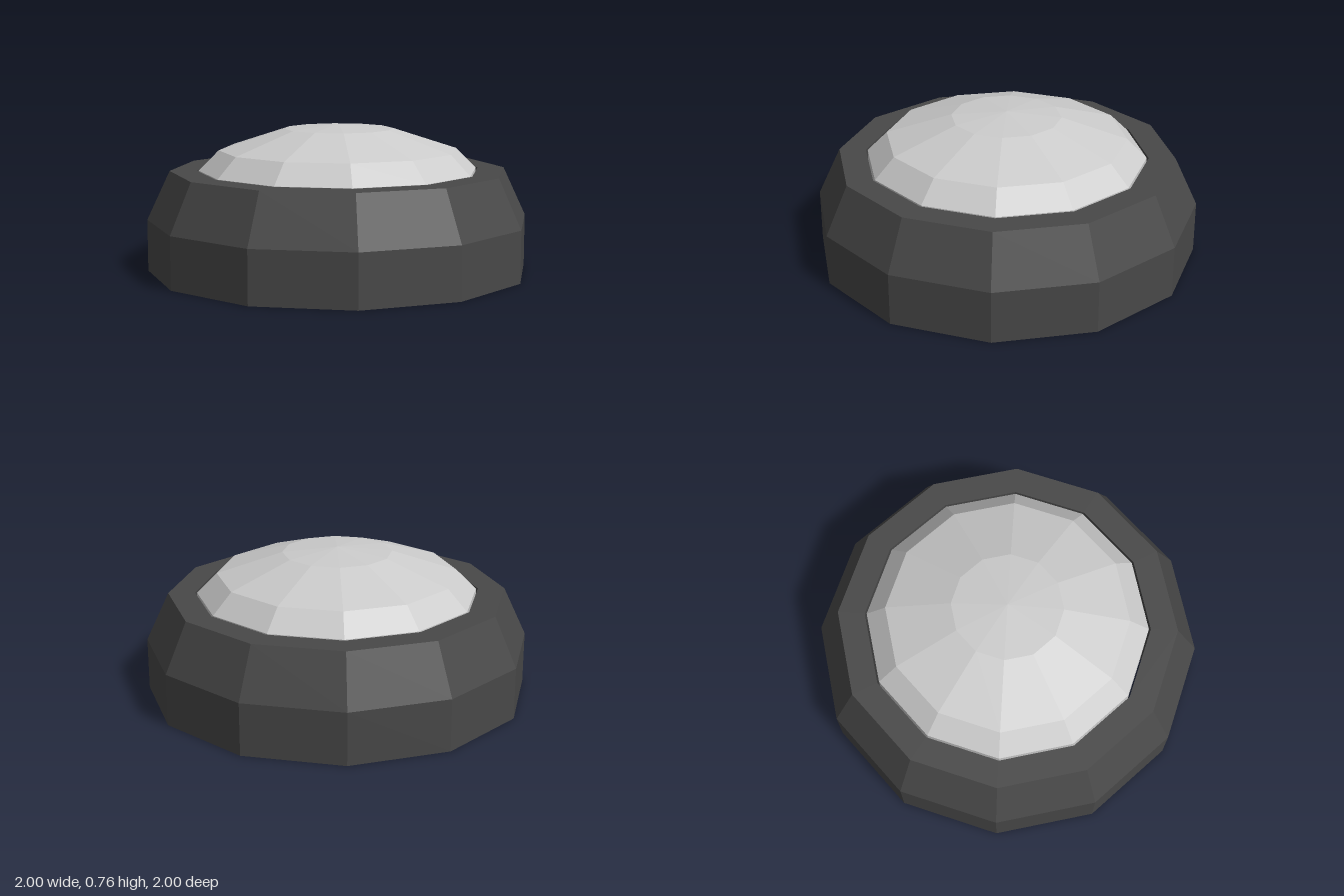
import * as THREE from 'three';

const SIDES = 12;

// Faceted solid of revolution from [radius, height] pairs, listed bottom to top on the outside
function turned(name, profile, color) {
  const points = profile.map(([r, y]) => new THREE.Vector2(r, y));
  const material = new THREE.MeshStandardMaterial({ color, flatShading: true });
  const mesh = new THREE.Mesh(new THREE.LatheGeometry(points, SIDES), material);
  mesh.name = name;
  return mesh;
}

export function createModel() {
  const model = new THREE.Group();
  model.name = 'pushButton';

  // Housing: chamfered ring with an open bore
  model.add(turned('housing', [
    [0.74, 0], [1, 0], [1, 0.27], [0.88, 0.525], [0.74, 0.525], [0.74, 0],
  ], 0x484848));

  // Button: plug filling the bore, with a shallow dome on top
  model.add(turned('button', [
    [0, 0], [0.73, 0], [0.73, 0.525], [0.625, 0.63], [0.285, 0.74], [0, 0.765],
  ], 0xcccccc));

  return model;
}
